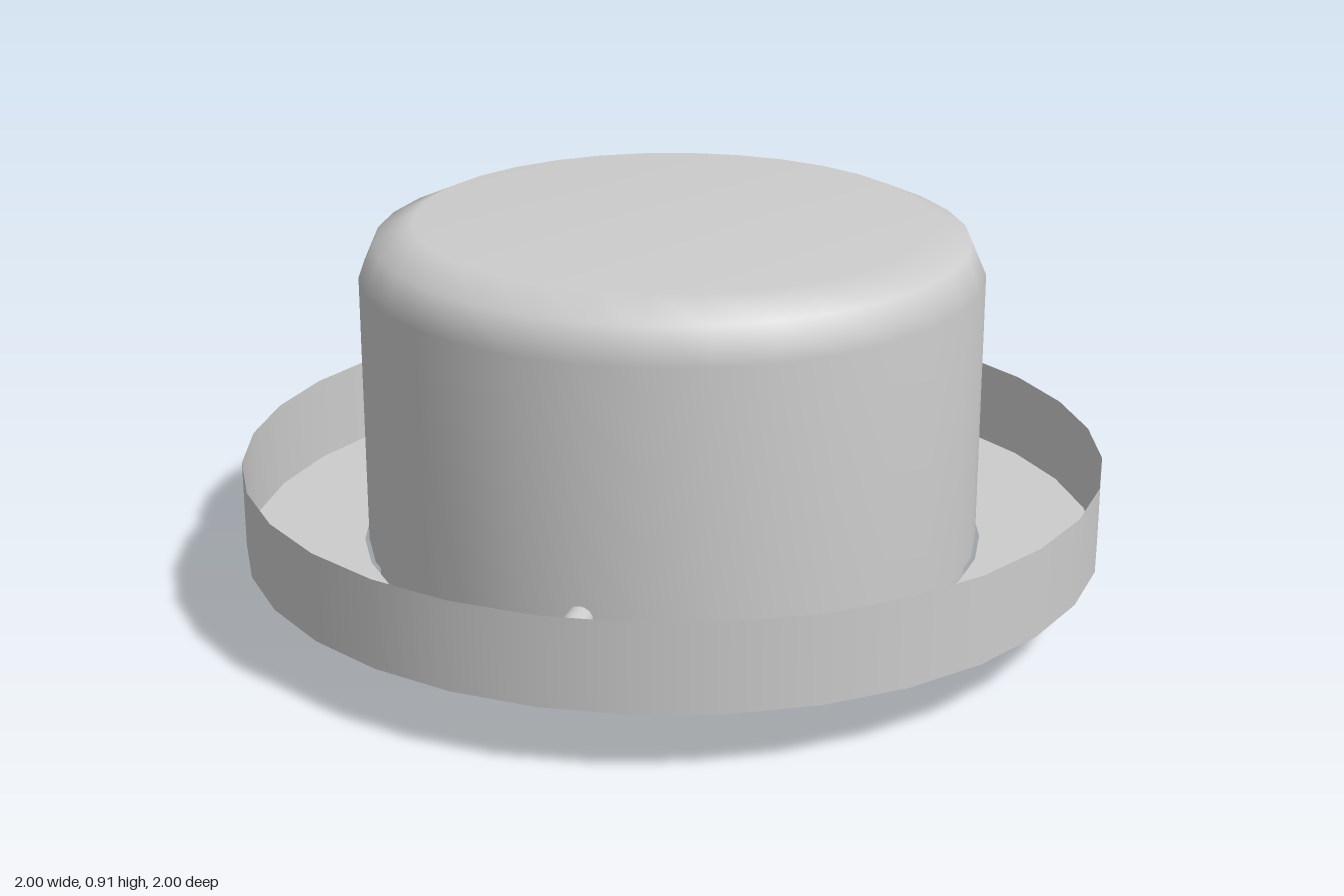
import * as THREE from 'three';

const SIDES = 32;

export function createModel() {
  const model = new THREE.Group();
  const grey = new THREE.MeshStandardMaterial({ color: 0xcccccc, side: THREE.DoubleSide });
  grey.name = 'light grey';

  // Revolved surface with smooth normals along the profile
  function lathe(name, points, parent = model) {
    const profile = points.map(([r, y]) => new THREE.Vector2(r, y));
    const mesh = new THREE.Mesh(new THREE.LatheGeometry(profile, SIDES), grey);
    mesh.name = name;
    parent.add(mesh);
  }

  // Revolved surface with a sharp edge at every profile point
  function sharpLathe(name, points) {
    const group = new THREE.Group();
    group.name = name;
    for (let i = 1; i < points.length; i++) lathe(name + 'Face' + i, [points[i - 1], points[i]], group);
    model.add(group);
  }

  // Domed cap with a bevelled shoulder
  lathe('dome', [[0.715, 0.15], [0.715, 0.79], [0.68, 0.87], [0.59, 0.91], [0, 0.91]]);

  // Shallow open tray: floor with a central hole and a thin upright rim
  sharpLathe('tray', [[0.725, 0.15], [1, 0.15], [1, 0.354]]);

  // Base plug with a stepped recess underneath
  sharpLathe('base', [
    [0, 0.05], [0.515, 0.05], [0.55, 0.03], [0.578, 0.03],
    [0.578, 0], [0.685, 0], [0.692, 0.008], [0.692, 0.3],
  ]);

  // Small locating pegs at the front and back
  for (const side of [1, -1]) {
    const peg = new THREE.Mesh(new THREE.CylinderGeometry(0.03, 0.03, 0.1, 16), grey);
    peg.name = side > 0 ? 'frontPeg' : 'backPeg';
    peg.rotation.x = Math.PI / 2;
    peg.position.set(0, 0.22, side * 0.738);
    model.add(peg);
  }
  return model;
}
